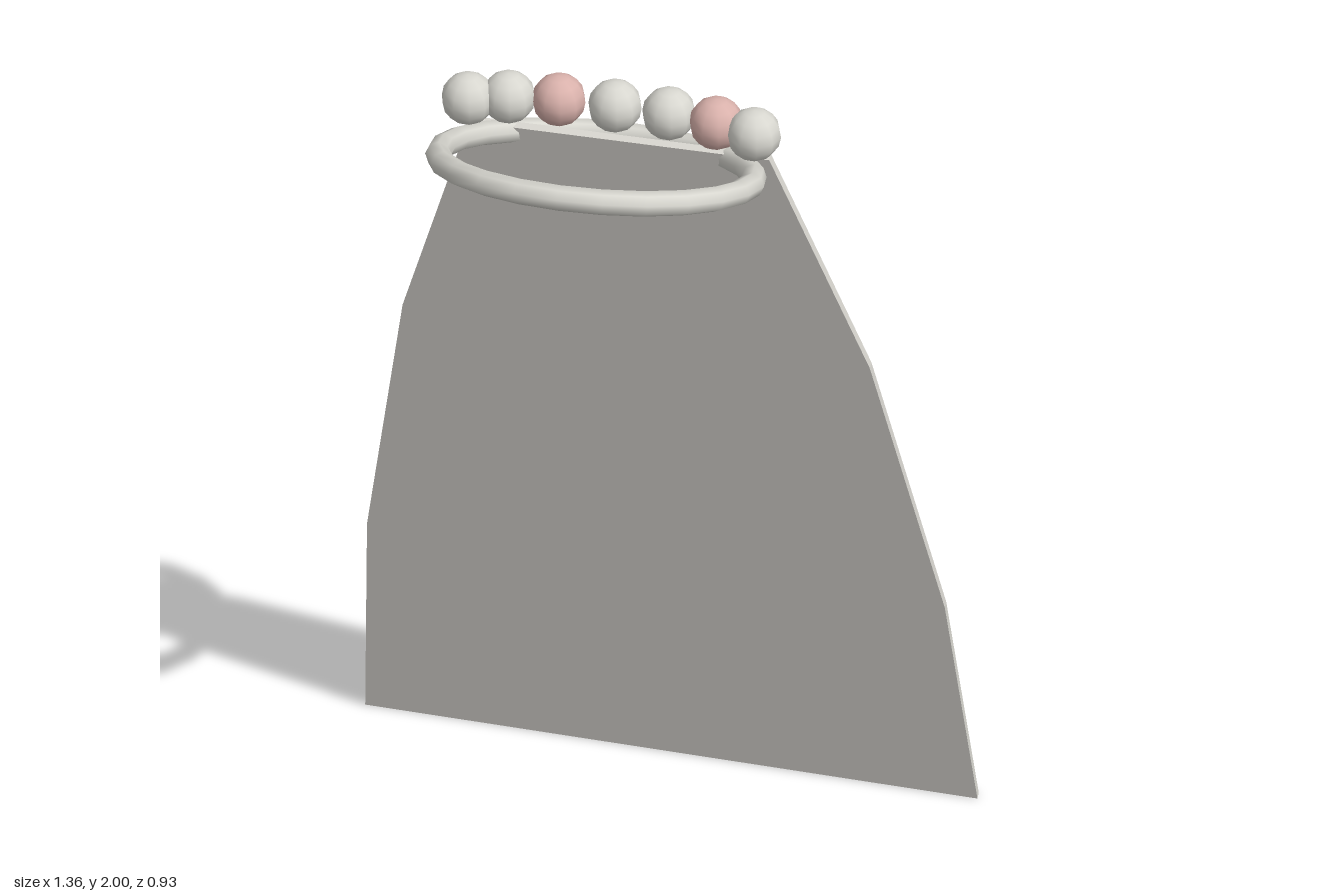
import * as THREE from 'three';

const mat = (name, color) => {
  const m = new THREE.MeshStandardMaterial({ color });
  m.name = name;
  return m;
};

export function createModel() {
  const model = new THREE.Group();
  model.name = 'veilWithCirclet';
  const veilCloth = mat('veil cloth', 0xd6d4ce);
  const pearl = mat('pearl', 0xd8d7d0);
  const rose = mat('rose', 0xdab2ac);

  const add = (name, geometry, material, x, y, z) => {
    const mesh = new THREE.Mesh(geometry, material);
    mesh.name = name;
    mesh.position.set(x, y, z);
    model.add(mesh);
    return mesh;
  };

  // Veil: flared flat panel, leaning back towards the hem
  const lean = 0.244;
  const thickness = 0.016;
  const side = [[0.68, 0], [0.61, 0.64], [0.465, 1.345], [0.285, 1.885]];
  const outline = [...side, ...side.map(([x, y]) => [-x, y]).reverse()];
  const panel = new THREE.ExtrudeGeometry(
    new THREE.Shape(outline.map(([x, y]) => new THREE.Vector2(x, y))),
    { depth: thickness, bevelEnabled: false }
  );
  panel.translate(0, 0, -thickness / 2);
  add('veil', panel, veilCloth, 0, 0.002, -0.46).rotation.x = lean;

  // Circlet: thin ring, raised at the front
  const ring = new THREE.TorusGeometry(0.287, 0.023, 8, 24);
  ring.rotateX(Math.PI / 2);
  add('circlet', ring, pearl, 0, 1.88, 0.172).rotation.x = -0.35;

  // Row of beads in a shallow arc, two of them rose
  const bead = new THREE.SphereGeometry(0.05, 10, 8);
  const arc = [[-0.268, 0.064], [-0.197, 0.042], [-0.105, 0.03], [0, 0.027],
    [0.102, 0.03], [0.193, 0.042], [0.268, 0.064]];
  arc.forEach(([x, z], i) =>
    add('bead' + (i + 1), bead, i === 2 || i === 5 ? rose : pearl, x, 1.92, z));

  return model;
}
